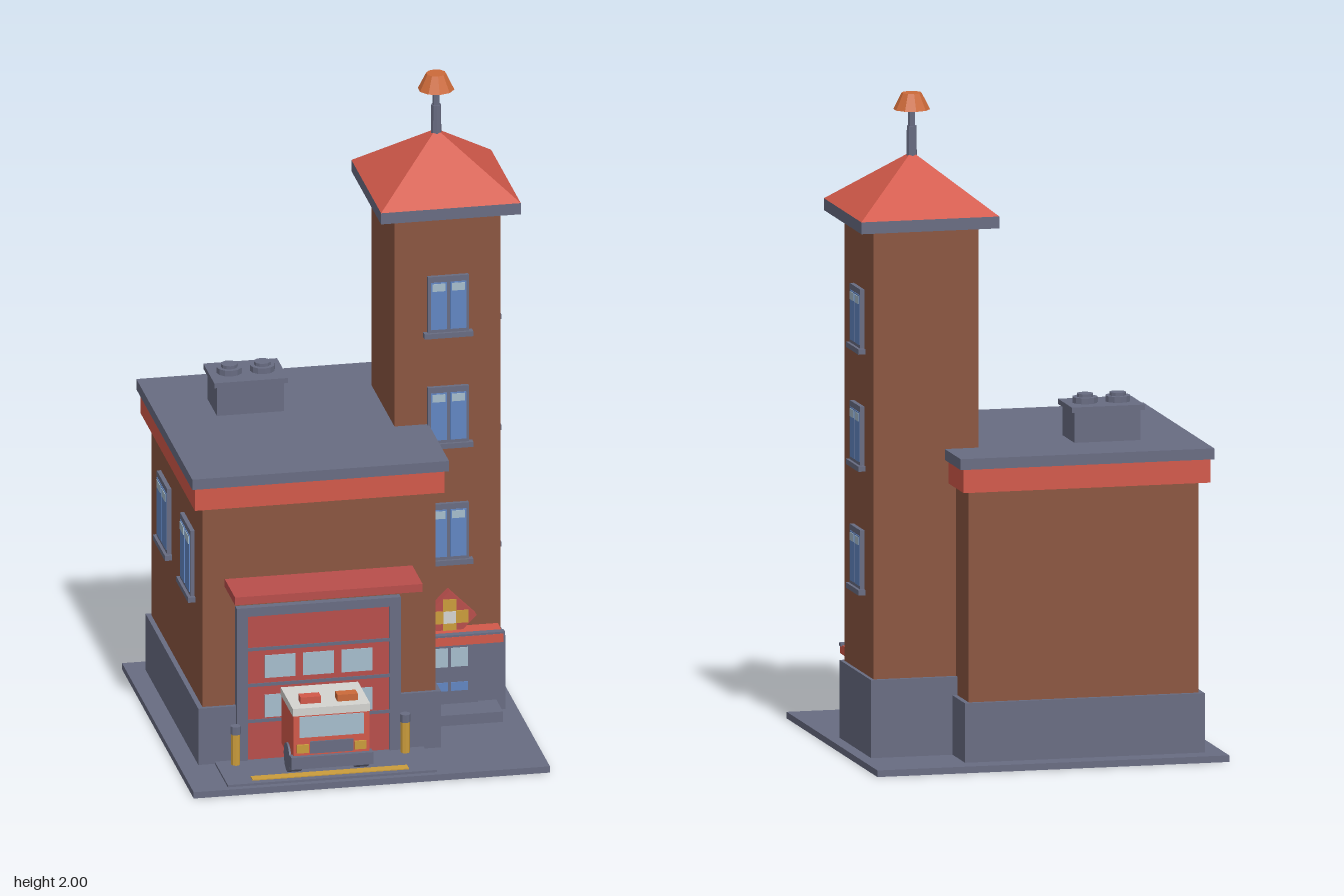
import * as THREE from 'three';

const paint = (name, color) => Object.assign(new THREE.MeshStandardMaterial({ color }), { name });
const slate = paint('slate', 0x686c82);
const brick = paint('brick', 0x8b5540);
const red = paint('red', 0xd2594a);
const deepRed = paint('deep red', 0xb84e4b);
const orange = paint('orange', 0xcc6a3a);
const yellow = paint('yellow', 0xcb9c3c);
const blue = paint('blue glass', 0x6286c2);
const pale = paint('pale glass', 0xa6bdcd);
const cream = paint('cream', 0xd4d4d0);

function add(parent, name, geometry, material, x = 0, y = 0, z = 0) {
  const mesh = new THREE.Mesh(geometry, material);
  mesh.name = name;
  mesh.position.set(x, y, z);
  parent.add(mesh);
  return mesh;
}

// Box given by its limits on each axis
function box(parent, name, material, x0, x1, y0, y1, z0, z1) {
  return add(parent, name, new THREE.BoxGeometry(x1 - x0, y1 - y0, z1 - z0), material,
    (x0 + x1) / 2, (y0 + y1) / 2, (z0 + z1) / 2);
}

// Faceted cylinder standing on y
function drum(parent, name, material, rTop, rBottom, height, sides, x, y, z) {
  const g = new THREE.CylinderGeometry(rTop, rBottom, height, sides).toNonIndexed();
  g.computeVertexNormals();
  return add(parent, name, g, material, x, y + height / 2, z);
}

function group(parent, name, x = 0, y = 0, z = 0, turn = 0) {
  const g = new THREE.Group();
  g.name = name;
  g.position.set(x, y, z);
  g.rotation.y = turn;
  parent.add(g);
  return g;
}

// Two-pane window with sill; origin at the bottom centre, on the wall, facing +z
function addWindow(parent, x, y, z, turn, w, h) {
  const g = group(parent, 'window', x, y, z, turn);
  box(g, 'windowFrame', slate, -w / 2, w / 2, 0.01, h, -0.005, 0.013);
  box(g, 'windowSill', slate, -w / 2 - 0.012, w / 2 + 0.012, 0, 0.016, -0.005, 0.022);
  for (const s of [-1, 1]) {
    const c = s * w / 4 * 0.95, half = w / 4 - 0.007;
    box(g, 'windowPane', blue, c - half, c + half, 0.026, h - 0.018, 0.012, 0.015);
    box(g, 'paneHighlight', pale, c - half + 0.005, c + half - 0.005, h - 0.046, h - 0.022, 0.014, 0.017);
  }
}

function buildHall(root) {
  const hall = group(root, 'hall');
  box(hall, 'hallPlinth', slate, -0.485, 0.255, 0.02, 0.2, -0.475, 0.325);
  box(hall, 'hallWalls', brick, -0.47, 0.24, 0.2, 0.845, -0.46, 0.312);
  box(hall, 'hallBand', red, -0.498, 0.263, 0.84, 0.912, -0.49, 0.336);
  box(hall, 'hallRoof', slate, -0.508, 0.275, 0.912, 0.945, -0.5, 0.347);
  for (const z of [-0.237, 0.115]) addWindow(hall, -0.47, 0.495, z, -Math.PI / 2, 0.158, 0.225);

  // Rooftop ventilation unit
  box(hall, 'ventBox', slate, -0.332, -0.128, 0.945, 1.04, -0.3, -0.154);
  box(hall, 'ventCap', slate, -0.342, -0.117, 1.038, 1.054, -0.311, -0.144);
  for (const x of [-0.28, -0.179]) {
    drum(hall, 'ventRing', slate, 0.038, 0.038, 0.018, 12, x, 1.054, -0.227);
    drum(hall, 'ventHub', slate, 0.025, 0.025, 0.01, 12, x, 1.072, -0.227);
  }

  // Garage door and frame
  const d = group(hall, 'garageDoor', -0.12);
  box(d, 'doorPanel', deepRed, -0.22, 0.22, 0.025, 0.495, 0.305, 0.329);
  for (const s of [-1, 1]) box(d, 'doorJamb', slate, s * 0.233 - 0.017, s * 0.233 + 0.017, 0.02, 0.49, 0.305, 0.337);
  box(d, 'doorLintel', slate, -0.25, 0.25, 0.488, 0.516, 0.305, 0.337);
  for (const y of [0.15, 0.265, 0.38]) box(d, 'doorSeam', slate, -0.216, 0.216, y - 0.005, y + 0.005, 0.327, 0.332);
  for (const y of [0.16, 0.286])
    for (const x of [-0.117, 0, 0.117])
      box(d, 'doorWindow', pale, x - 0.047, x + 0.047, y, y + 0.072, 0.327, 0.332);
  box(hall, 'garageAwning', deepRed, -0.402, 0.17, 0.58, 0.605, 0.305, 0.468);
  box(hall, 'garageLamp', orange, -0.149, -0.09, 0.54, 0.572, 0.31, 0.362);
}

function buildTower(root) {
  const t = group(root, 'tower', 0.333, 0, -0.138);
  box(t, 'towerPlinth', slate, -0.175, 0.173, 0.02, 0.256, -0.187, 0.192);
  box(t, 'towerWalls', brick, -0.162, 0.162, 0.256, 1.62, -0.172, 0.174);
  box(t, 'towerEave', slate, -0.213, 0.213, 1.616, 1.652, -0.225, 0.224);
  const roof = new THREE.ConeGeometry(Math.SQRT1_2, 0.17, 4).toNonIndexed();
  roof.rotateY(Math.PI / 4).scale(0.426, 1, 0.449);
  roof.computeVertexNormals();
  add(t, 'towerRoof', roof, red, 0, 1.737, 0);

  // Siren on its pole
  drum(t, 'sirenPoleBase', slate, 0.015, 0.016, 0.1, 8, 0, 1.8, 0);
  drum(t, 'sirenPole', slate, 0.011, 0.011, 0.08, 8, 0, 1.88, 0);
  drum(t, 'siren', orange, 0.03, 0.055, 0.05, 10, 0, 1.95, 0);

  for (const y of [0.495, 0.87, 1.225]) {
    addWindow(t, 0, y, 0.174, 0, 0.125, 0.195);
    addWindow(t, 0.162, y, 0, Math.PI / 2, 0.125, 0.195);
  }

  // Entrance: door, step and canopy
  const e = group(t, 'entrance', 0, 0, 0.174);
  box(e, 'entranceDoor', slate, -0.088, 0.088, 0.02, 0.256, 0, 0.026);
  for (const s of [-1, 1]) {
    const c = s * 0.031;
    box(e, 'doorGlass', pale, c - 0.026, c + 0.026, 0.172, 0.232, 0.024, 0.029);
    box(e, 'doorLowerPane', blue, c - 0.026, c + 0.026, 0.095, 0.122, 0.024, 0.029);
  }
  box(e, 'entranceStep', slate, -0.145, 0.145, 0.02, 0.053, 0, 0.12);
  box(e, 'canopy', red, -0.153, 0.153, 0.264, 0.291, -0.005, 0.09);
  box(e, 'canopyLip', slate, -0.157, 0.157, 0.288, 0.297, 0.068, 0.089);

  // Diamond badge with a cross
  const b = group(e, 'badge', 0, 0.333, 0);
  add(b, 'badgePlate', new THREE.BoxGeometry(0.117, 0.117, 0.03), deepRed, 0, 0, 0.015).rotation.z = Math.PI / 4;
  box(b, 'crossBar', yellow, -0.057, 0.057, -0.02, 0.02, 0.028, 0.033);
  box(b, 'crossPost', yellow, -0.02, 0.02, -0.057, 0.057, 0.028, 0.033);
  box(b, 'crossCentre', cream, -0.019, 0.019, -0.019, 0.019, 0.03, 0.035);
}

function buildTruck(root) {
  const t = group(root, 'truck', -0.118);
  box(t, 'truckBody', red, -0.116, 0.116, 0.075, 0.235, 0.335, 0.517);
  box(t, 'truckRoof', cream, -0.118, 0.118, 0.23, 0.254, 0.335, 0.519);
  box(t, 'windshield', pale, -0.098, 0.098, 0.16, 0.226, 0.515, 0.52);
  box(t, 'grille', slate, -0.066, 0.066, 0.108, 0.146, 0.515, 0.522);
  box(t, 'bumper', slate, -0.125, 0.125, 0.064, 0.102, 0.5, 0.531);
  for (const s of [-1, 1]) {
    box(t, 'headlight', yellow, s * 0.088 - 0.018, s * 0.088 + 0.018, 0.112, 0.138, 0.515, 0.524);
    box(t, 'beacon', s < 0 ? red : orange, s * 0.056 - 0.031, s * 0.056 + 0.031, 0.252, 0.275, 0.45, 0.484);
    const wheel = new THREE.CylinderGeometry(0.045, 0.045, 0.04, 14).rotateZ(Math.PI / 2);
    add(t, 'wheel', wheel, slate, s * 0.102, 0.072, 0.445);
  }
}

export function createModel() {
  const root = new THREE.Group();
  root.name = 'fireStation';
  box(root, 'ground', slate, -0.543, 0.543, 0, 0.02, -0.543, 0.543);
  box(root, 'apron', slate, -0.435, 0.202, 0.018, 0.027, 0.3, 0.523);
  box(root, 'stopLine', yellow, -0.355, 0.122, 0.026, 0.03, 0.47, 0.502);
  buildHall(root);
  buildTower(root);
  buildTruck(root);

  // Bollards beside the garage
  for (const x of [-0.378, 0.139]) {
    drum(root, 'bollard', yellow, 0.014, 0.014, 0.1, 8, x, 0.025, 0.358);
    drum(root, 'bollardCap', slate, 0.016, 0.016, 0.025, 8, x, 0.125, 0.358);
  }
  return root;
}
